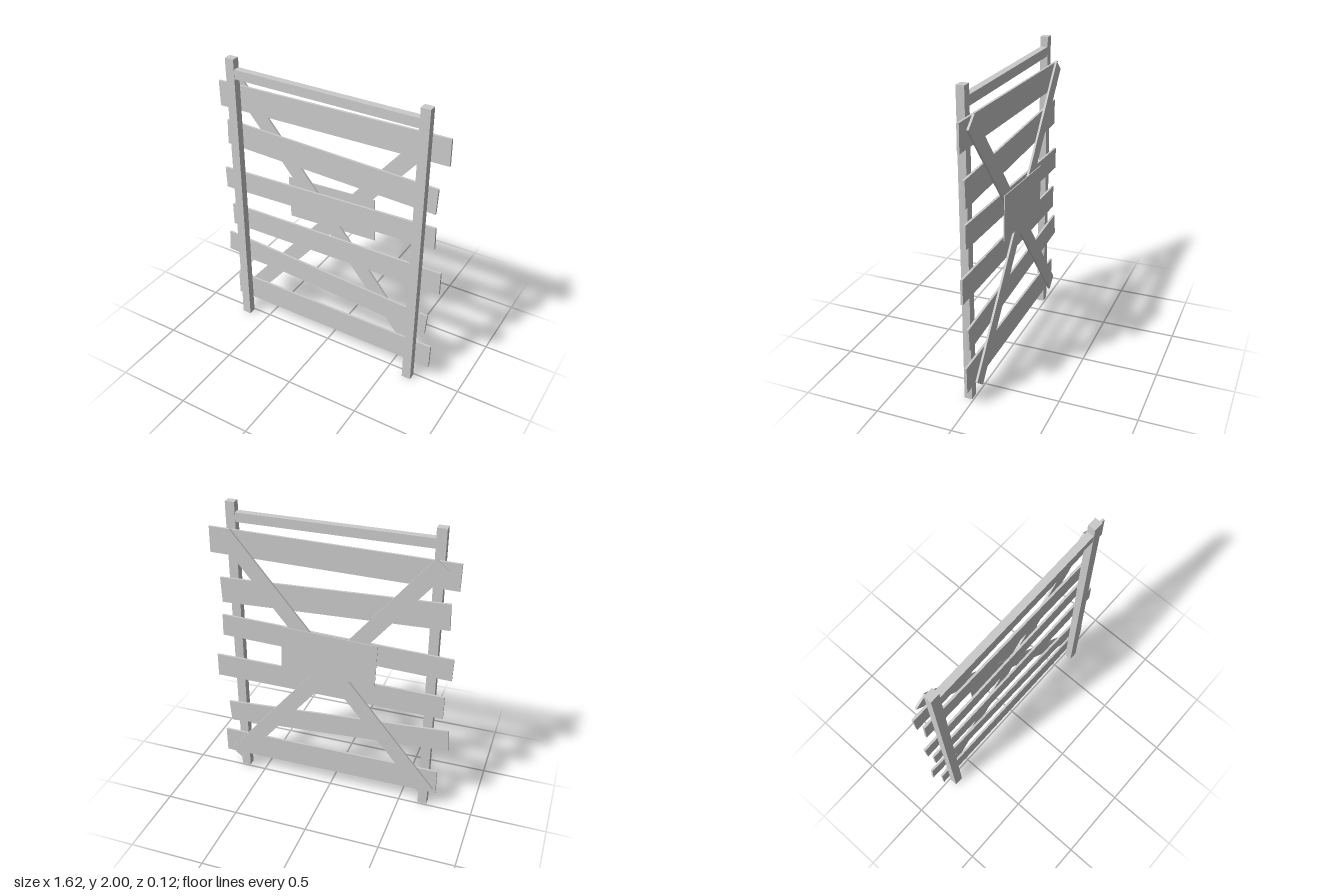
import * as THREE from 'three';

export function createModel() {
  const group = new THREE.Group();
  const material = new THREE.MeshStandardMaterial({ color: 0xcccccc, flatShading: true });

  // Board centred at (x, y), spanning zBack..zFront, turned in the plane of the gate
  function board(name, x, y, length, height, zBack, zFront, angle = 0) {
    const mesh = new THREE.Mesh(new THREE.BoxGeometry(length, height, zFront - zBack), material);
    mesh.name = name;
    mesh.position.set(x, y, (zBack + zFront) / 2);
    mesh.rotation.z = angle;
    group.add(mesh);
  }

  // Upright posts and the rail between them
  board('leftPost', 0.65, 1, 0.062, 2, 0.01, 0.061);
  board('rightPost', -0.662, 1, 0.062, 2, 0.01, 0.061);
  board('topRail', -0.006, 1.903, 1.25, 0.062, 0.012, 0.059);

  // Crooked planks, top to bottom: x, y, length, height, tilt
  [
    [0, 1.732, 1.592, 0.172, 0.0143],
    [-0.007, 1.43, 1.495, 0.174, -0.037],
    [-0.024, 1.122, 1.544, 0.151, 0.03],
    [0.024, 0.82, 1.565, 0.16, 0.0085],
    [-0.036, 0.517, 1.55, 0.151, -0.069],
    [0.016, 0.21, 1.533, 0.178, -0.0065],
  ].forEach(([x, y, length, height, tilt], i) =>
    board(`plank${i + 1}`, x, y, length, height, -0.007, 0.008, tilt));

  // Crossed braces behind the planks, one layered over the other
  const braceAngle = 0.88;
  board('innerBrace', -0.004, 0.97, 2.165, 0.106, -0.03, -0.016, braceAngle);
  board('outerBrace', -0.004, 0.97, 2.165, 0.106, -0.05, -0.036, -braceAngle);

  // Plate covering the crossing
  board('centrePlate', -0.008, 1.074, 0.634, 0.298, -0.062, -0.056, 0.042);

  return group;
}
